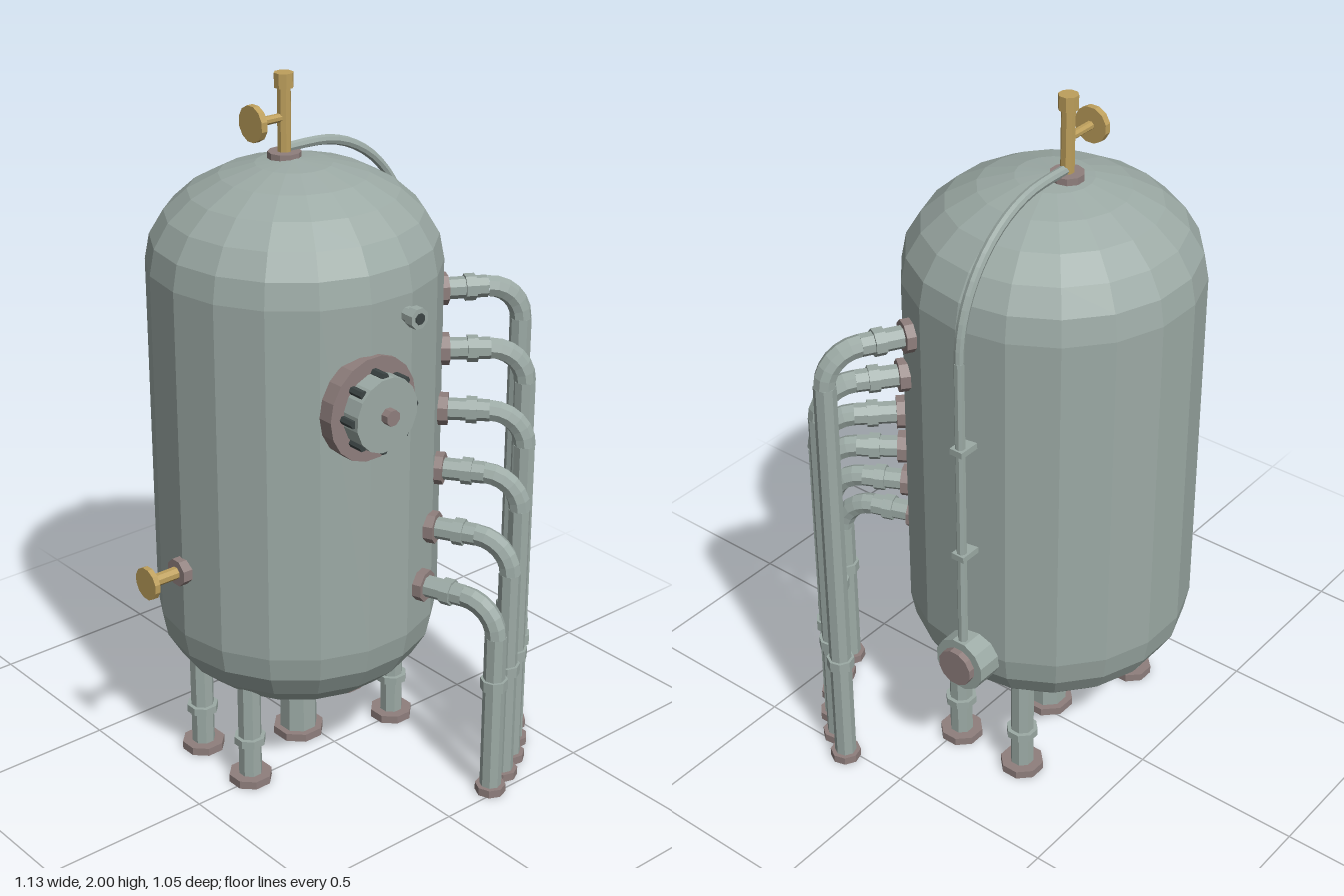
import * as THREE from 'three';

const mat = (name, color) => Object.assign(new THREE.MeshStandardMaterial({ color, flatShading: true }), { name });

export function createModel() {
  const steel = mat('greenGreySteel', 0x9caaa5);
  const flangeMat = mat('brownFlange', 0x8f7f7d);
  const brass = mat('brass', 0xbd9f5c);
  const dark = mat('darkBolt', 0x3c4444);
  const root = new THREE.Group();
  root.name = 'pressureTank';
  const CX = -0.037, CZ = -0.123, R = 0.405;

  const add = (parent, name, geo, material, x = 0, y = 0, z = 0) => {
    const m = new THREE.Mesh(geo, material);
    m.name = name;
    m.position.set(x, y, z);
    parent.add(m);
    return m;
  };
  // Cylinder running from a to b along one axis; p holds the other coordinates
  const rod = (parent, name, axis, a, b, r, material, p, sides = 8) => {
    const g = new THREE.CylinderGeometry(r, r, Math.abs(b - a), sides);
    g.rotateY(Math.PI / sides);
    if (axis === 'x') g.rotateZ(-Math.PI / 2);
    if (axis === 'z') g.rotateX(Math.PI / 2);
    const m = add(parent, name, g, material, ...p);
    m.position[axis] = (a + b) / 2;
    return m;
  };
  const group = (name, x = 0, y = 0, z = 0) => {
    const g = new THREE.Group();
    g.name = name;
    g.position.set(x, y, z);
    root.add(g);
    return g;
  };

  // Tank shell with flattened domes
  const profile = [];
  for (let i = 0; i <= 6; i++) {
    const t = (i / 6) * Math.PI / 2;
    profile.push(new THREE.Vector2(R * Math.sin(t), 0.475 - 0.28 * Math.cos(t)));
  }
  for (let i = 0; i <= 6; i++) {
    const t = (i / 6) * Math.PI / 2;
    profile.push(new THREE.Vector2(R * Math.cos(t), 1.495 + 0.28 * Math.sin(t)));
  }
  profile[0].x = profile[13].x = 0;
  add(root, 'tankShell', new THREE.LatheGeometry(profile, 18, Math.PI / 18), steel, CX, 0, CZ);

  // Four outer legs
  for (const sx of [-1, 1]) for (const sz of [-1, 1]) {
    const leg = group('leg', CX + sx * 0.27, 0, CZ + sz * 0.113);
    rod(leg, 'legPipe', 'y', 0.01, 0.4, 0.034, steel, [0, 0, 0]);
    rod(leg, 'legCollar', 'y', 0.125, 0.148, 0.046, steel, [0, 0, 0]);
    rod(leg, 'legFoot', 'y', 0, 0.024, 0.063, flangeMat, [0, 0, 0]);
  }

  // Central drain
  const drain = group('centreDrain', CX, 0, CZ);
  rod(drain, 'drainPipe', 'y', 0.01, 0.22, 0.056, steel, [0, 0, 0]);
  rod(drain, 'drainFlange', 'y', 0.163, 0.186, 0.065, flangeMat, [0, 0, 0]);
  rod(drain, 'drainFoot', 'y', 0, 0.024, 0.076, flangeMat, [0, 0, 0]);

  // Six fanned outlet pipes, each lower than the last
  const reach = 0.64, bend = 0.1, pr = 0.031;
  for (let i = 0; i < 6; i++) {
    const y = 1.38 - i * 0.155;
    const pipe = group('outletPipe', CX, 0, CZ);
    pipe.rotation.y = -THREE.MathUtils.degToRad(29.5 + 8.15 * i);
    rod(pipe, 'outletFlange', 'x', 0.37, 0.425, 0.046, flangeMat, [0, y, 0]);
    rod(pipe, 'outletArm', 'x', 0.37, reach - bend, pr, steel, [0, y, 0]);
    rod(pipe, 'armCollar', 'x', 0.475, 0.505, 0.038, steel, [0, y, 0]);
    const elbow = new THREE.TorusGeometry(bend, pr, 8, 6, Math.PI / 2);
    add(pipe, 'outletElbow', elbow, steel, reach - bend, y - bend, 0);
    rod(pipe, 'outletDrop', 'y', 0.01, y - bend, pr, steel, [reach, 0, 0]);
    rod(pipe, 'dropCollar', 'y', 0.34, 0.372, 0.039, steel, [reach, 0, 0]);
    rod(pipe, 'outletFoot', 'y', 0, 0.024, 0.044, flangeMat, [reach, 0, 0]);
  }

  // Round hatch on the front
  const hatch = group('hatch', -0.11, 1.21, 0);
  rod(hatch, 'hatchNeck', 'z', 0.1, 0.25, 0.115, steel, [0, 0, 0], 16);
  rod(hatch, 'hatchFlange', 'z', 0.245, 0.29, 0.146, flangeMat, [0, 0, 0], 18);
  rod(hatch, 'hatchCover', 'z', 0.29, 0.345, 0.104, steel, [0, 0, 0], 16);
  rod(hatch, 'hatchKnob', 'z', 0.345, 0.368, 0.023, flangeMat, [0, 0, 0]);
  for (let i = 0; i < 8; i++) {
    const a = (i / 8) * Math.PI * 2;
    rod(hatch, 'hatchBolt', 'z', 0.29, 0.335, 0.012, dark, [0.104 * Math.cos(a), 0.104 * Math.sin(a), 0], 6);
  }

  // Small front nozzle
  const nozzle = group('nozzle', 0.015, 1.44, 0);
  rod(nozzle, 'nozzleNeck', 'z', 0.2, 0.3, 0.022, steel, [0, 0, 0]);
  rod(nozzle, 'nozzleRim', 'z', 0.298, 0.325, 0.03, steel, [0, 0, 0]);
  rod(nozzle, 'nozzleBore', 'z', 0.32, 0.328, 0.016, dark, [0, 0, 0]);

  // Side valve with hand wheel
  const valve = group('sideValve', 0, 0.68, CZ);
  rod(valve, 'valveFlange', 'x', -0.465, -0.41, 0.04, flangeMat, [0, 0, 0]);
  rod(valve, 'valveStem', 'x', -0.555, -0.46, 0.018, brass, [0, 0, 0]);
  rod(valve, 'valveWheel', 'x', -0.566, -0.55, 0.047, brass, [0, 0, 0], 12);

  // Top valve
  const PZ = -0.162;
  const top = group('topValve', CX, 0, PZ);
  rod(top, 'topFlange', 'y', 1.755, 1.787, 0.046, flangeMat, [0, 0, 0], 10);
  rod(top, 'topStem', 'y', 1.78, 1.965, 0.019, brass, [0, 0, 0]);
  rod(top, 'topCap', 'y', 1.96, 2, 0.027, brass, [0, 0, 0]);
  rod(top, 'topWheelStem', 'x', -0.1, 0, 0.012, brass, [0, 1.88, 0]);
  rod(top, 'topWheel', 'x', -0.113, -0.094, 0.05, brass, [0, 1.88, 0], 12);

  // Thin vent line arching over the dome and down the side
  const pts = [new THREE.Vector3(CX, 1.795, PZ)];
  for (let i = 0; i <= 10; i++) {
    const t = (i / 10) * Math.PI / 2;
    pts.push(new THREE.Vector3(0.06 + 0.342 * Math.sin(t), 1.43 + 0.365 * Math.cos(t), PZ));
  }
  const line = new THREE.CatmullRomCurve3(pts);
  add(root, 'ventArch', new THREE.TubeGeometry(line, 18, 0.014, 8), steel);
  rod(root, 'ventDrop', 'y', 0.465, 1.43, 0.014, steel, [0.402, 0, PZ]);
  for (const y of [1.165, 0.83]) {
    add(root, 'ventClamp', new THREE.BoxGeometry(0.075, 0.018, 0.04), steel, 0.383, y, PZ);
  }

  // Side port at the foot of the vent line
  rod(root, 'sidePort', 'x', 0.31, 0.422, 0.08, steel, [0, 0.465, PZ], 12);
  rod(root, 'sidePortCap', 'x', 0.42, 0.442, 0.055, flangeMat, [0, 0.465, PZ], 12);

  return root;
}
